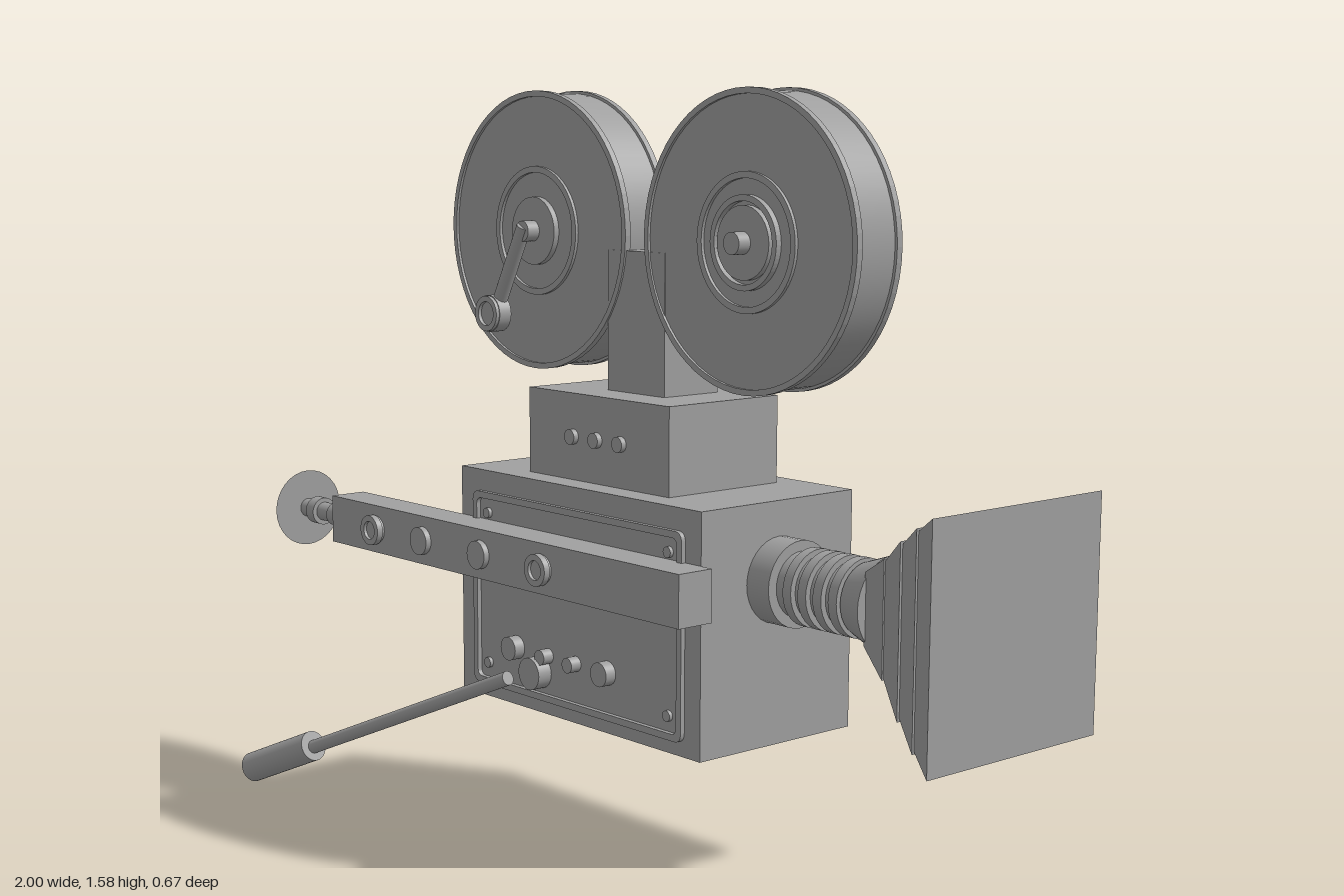
import * as THREE from 'three';

const grey = new THREE.MeshStandardMaterial({ color: 0xa0a0a0 });
grey.name = 'grey';

export function createModel() {
  const root = new THREE.Group();
  root.name = 'filmCamera';

  const add = (name, geo, parent = root) => {
    const m = new THREE.Mesh(geo, grey);
    m.name = name;
    parent.add(m);
    return m;
  };
  // Box given by its limits on each axis
  const box = (name, x0, x1, y0, y1, z0, z1) =>
    add(name, new THREE.BoxGeometry(x1 - x0, y1 - y0, z1 - z0))
      .position.set((x0 + x1) / 2, (y0 + y1) / 2, (z0 + z1) / 2);
  // Round part running from point a (radius ra) to point b (radius rb)
  const rod = (name, a, b, ra, rb = ra, parent = root, seg = 32) => {
    const p = new THREE.Vector3(...a), q = new THREE.Vector3(...b);
    const d = q.clone().sub(p);
    const m = add(name, new THREE.CylinderGeometry(rb, ra, d.length(), seg), parent);
    m.position.copy(p).add(q).multiplyScalar(0.5);
    m.quaternion.setFromUnitVectors(new THREE.Vector3(0, 1, 0), d.normalize());
    return m;
  };
  const knob = (name, x, y, z0, z1, r, parent = root) => rod(name, [x, y, z0], [x, y, z1], r, r, parent);
  // Flat ring facing front
  const ring = (name, x, y, z0, z1, ro, ri, parent = root) => {
    const s = new THREE.Shape().absarc(0, 0, ro, 0, Math.PI * 2);
    s.holes.push(new THREE.Path().absarc(0, 0, ri, 0, Math.PI * 2, true));
    const m = add(name, new THREE.ExtrudeGeometry(s, { depth: z1 - z0, bevelEnabled: false, curveSegments: 32 }), parent);
    m.position.set(x, y, z0);
  };
  const rect = (P, w, h, r) => {
    const p = new P();
    p.moveTo(-w + r, -h).lineTo(w - r, -h).quadraticCurveTo(w, -h, w, -h + r)
      .lineTo(w, h - r).quadraticCurveTo(w, h, w - r, h)
      .lineTo(-w + r, h).quadraticCurveTo(-w, h, -w, h - r)
      .lineTo(-w, -h + r).quadraticCurveTo(-w, -h, -w + r, -h);
    return p;
  };

  // Body, upper housing and reel bracket
  box('body', -0.355, 0.405, 0.3, 0.79, -0.31, 0.1);
  box('upperHousing', -0.195, 0.245, 0.79, 0.97, -0.255, 0.04);
  box('reelBracket', -0.045, 0.13, 0.97, 1.26, -0.195, -0.049);
  for (const x of [-0.05, 0.025, 0.1]) knob('housingButton', x, 0.88, 0.03, 0.052, 0.016);

  // Raised frame and screws on the front
  const frame = rect(THREE.Shape, 0.332, 0.208, 0.02);
  frame.holes.push(rect(THREE.Path, 0.318, 0.194, 0.015));
  add('panelFrame', new THREE.ExtrudeGeometry(frame, { depth: 0.012, bevelEnabled: false }))
    .position.set(0.028, 0.537, 0.098);
  for (const x of [-0.26, 0.315])
    for (const y of [0.375, 0.7]) knob('screw', x, y, 0.09, 0.108, 0.011);
  for (const [x, r] of [[-0.165, 0.025], [-0.06, 0.016], [0.03, 0.016], [0.13, 0.025]])
    knob('frontButton', x, 0.425, 0.09, 0.125, r);

  // Film reels
  for (const x of [-0.28, 0.365]) {
    const reel = new THREE.Group();
    reel.name = 'filmReel';
    reel.position.set(x, 1.29, 0);
    root.add(reel);
    knob('drum', 0, 0, -0.16, -0.051, 0.288, reel).geometry =
      new THREE.CylinderGeometry(0.288, 0.288, 0.109, 64);
    for (const z of [-0.165, -0.059]) ring('rim', 0, 0, z, z + 0.014, 0.294, 0.282, reel);
    ring('outerHubRing', 0, 0, -0.06, -0.044, 0.136, 0.123, reel);
    knob('frontHub', 0, 0, -0.06, -0.038, 0.072, reel);
    knob('backHub', 0, 0, -0.175, -0.15, 0.072, reel);
    knob('spindle', 0, 0, -0.193, -0.008, 0.022, reel);
    if (x > 0) ring('innerHubRing', 0, 0, -0.06, -0.038, 0.092, 0.08, reel);
  }

  // Small crank on the reel
  rod('reelCrankArm', [-0.28, 1.3, -0.014], [-0.375, 1.12, -0.014], 0.016);
  knob('reelCrankKnob', -0.38, 1.11, -0.025, 0.006, 0.04);
  ring('reelCrankKnobRim', -0.38, 1.11, 0, 0.014, 0.038, 0.026);

  // Viewfinder bar with its eyepiece
  box('viewfinderBar', -0.735, 0.435, 0.58, 0.685, 0.1, 0.184);
  for (const x of [-0.56, -0.385, -0.18, 0.025]) {
    knob('barKnob', x, 0.632, 0.17, 0.197, 0.03);
    if (x === -0.56 || x === 0.025) ring('barKnobRim', x, 0.632, 0.19, 0.204, 0.033, 0.02);
  }
  const along = (name, x0, x1, y, z, r0, r1 = r0) => rod(name, [x0, y, z], [x1, y, z], r0, r1);
  along('eyepieceRod', -0.91, -0.73, 0.632, 0.143, 0.021);
  along('eyepieceCollar', -0.862, -0.832, 0.632, 0.143, 0.031);
  along('eyepieceSocket', -0.785, -0.73, 0.632, 0.143, 0.026);
  along('eyepieceCone', -1, -0.9, 0.632, 0.143, 0.022, 0.087);

  // Lens barrel with ribs
  const ly = 0.632, lz = -0.107;
  along('lensMount', 0.4, 0.465, ly, lz, 0.087);
  along('lensBarrel', 0.46, 0.65, ly, lz, 0.066);
  for (const x of [0.505, 0.545, 0.585, 0.625]) along('lensRib', x - 0.011, x + 0.011, ly, lz, 0.078);
  along('lensFlare', 0.64, 0.705, ly, lz, 0.072, 0.094);

  // Square lens hood in overlapping steps: x start, x end, half sizes
  for (const [x0, x1, h0, h1] of [[0.7, 0.785, 0.07, 0.112], [0.78, 0.87, 0.105, 0.163],
    [0.865, 0.94, 0.154, 0.2], [0.935, 1, 0.192, 0.228]]) {
    const geo = new THREE.CylinderGeometry(h1 * Math.SQRT2, h0 * Math.SQRT2, x1 - x0, 4, 1);
    geo.rotateY(Math.PI / 4).rotateZ(-Math.PI / 2);
    const flat = geo.toNonIndexed();
    flat.computeVertexNormals();
    add('lensHood', flat).position.set((x0 + x1) / 2, ly, lz);
  }

  // Long hand lever
  knob('leverHub', -0.085, 0.387, 0.09, 0.133, 0.034);
  rod('leverRod', [-0.085, 0.387, 0.187], [-0.71, 0.118, 0.272], 0.015);
  rod('leverGrip', [-0.7, 0.125, 0.27], [-0.905, 0.036, 0.304], 0.034);

  return root;
}
